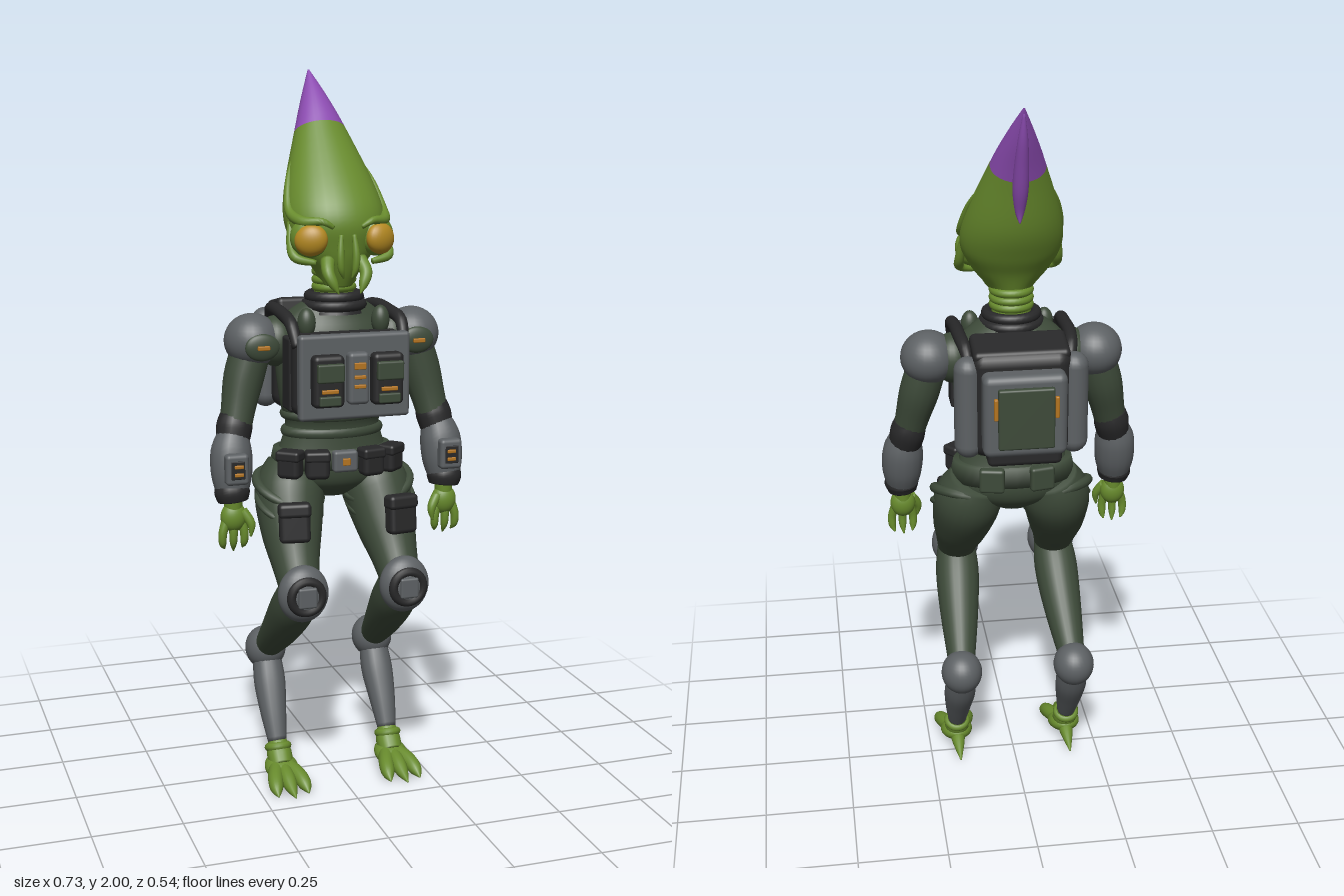
import * as THREE from 'three';
import { RoundedBoxGeometry } from 'three/addons/geometries/RoundedBoxGeometry.js';

const mat = (name, color) => Object.assign(new THREE.MeshStandardMaterial({ color }), { name });
const M = {
  skin: mat('skin green', 0x688b2d), purple: mat('crest purple', 0x8b4bb0), amber: mat('eye amber', 0xb58a22),
  suit: mat('suit dark green', 0x3d4a39), armour: mat('armour grey', 0x5d6164),
  black: mat('rubber black', 0x282829), orange: mat('marker orange', 0xb5751f),
};

// Catmull-Rom resampling of rows of numbers, k steps per span
function smooth(rows, k = 5) {
  const out = [], at = i => rows[Math.max(0, Math.min(rows.length - 1, i))];
  for (let i = 0; i < rows.length - 1; i++) for (let j = 0; j < k; j++) {
    const t = j / k, [a, b, c, d] = [at(i - 1), at(i), at(i + 1), at(i + 2)];
    out.push(b.map((_, m) => 0.5 * (2 * b[m] + (c[m] - a[m]) * t + (2 * a[m] - 5 * b[m] + 4 * c[m] - d[m]) * t * t
      + (3 * b[m] - a[m] - 3 * c[m] + d[m]) * t * t * t)));
  }
  out.push(rows[rows.length - 1]);
  return out;
}

// Skin over rings of points; caps lists the closed ends (0 start, 1 end)
function skinRings(rings, caps = [0, 1]) {
  const n = rings[0].length, pos = rings.flat().flatMap(p => [p.x, p.y, p.z]), idx = [];
  for (let r = 0; r < rings.length - 1; r++) for (let i = 0; i < n; i++) {
    const p = r * n + i, q = r * n + (i + 1) % n;
    idx.push(p, p + n, q, q, p + n, q + n);
  }
  caps.forEach(end => {
    const r = end * (rings.length - 1), c = new THREE.Vector3(), ci = pos.length / 3;
    rings[r].forEach(p => c.addScaledVector(p, 1 / n));
    pos.push(c.x, c.y, c.z);
    for (let i = 0; i < n; i++) {
      const p = r * n + i, q = r * n + (i + 1) % n;
      if (end) idx.push(p, ci, q); else idx.push(q, ci, p);
    }
  });
  const g = new THREE.BufferGeometry();
  g.setAttribute('position', new THREE.Float32BufferAttribute(pos, 3));
  g.setIndex(idx);
  g.computeVertexNormals();
  return g;
}

// Body sections: [front y, front z, back y, back z, half width], bottom to top
const loft = (rows, caps, n = 32) => skinRings(rows.map(([yf, zf, yb, zb, rx]) => Array.from({ length: n }, (_, i) => {
  const a = i / n * Math.PI * 2, t = (Math.sin(a) + 1) / 2;
  return new THREE.Vector3(rx * Math.cos(a), yb + (yf - yb) * t, zb + (zf - zb) * t);
})), caps);

// Tapered round sweep along [x, y, z, radius] points; s mirrors in x
function sweep(path, s = 1, n = 16) {
  const rows = smooth(path), P = rows.map(r => new THREE.Vector3(r[0] * s, r[1], r[2]));
  return skinRings(P.map((p, i) => {
    const T = P[Math.min(i + 1, P.length - 1)].clone().sub(P[Math.max(i - 1, 0)]).normalize();
    const N = new THREE.Vector3(1, 0, 0);
    N.addScaledVector(T, -T.x).normalize();
    const B = T.clone().cross(N), r = Math.max(rows[i][3], 0.0005);
    return Array.from({ length: n }, (_, j) => {
      const a = j / n * Math.PI * 2;
      return p.clone().addScaledVector(N, Math.cos(a) * r).addScaledVector(B, -Math.sin(a) * r);
    });
  }));
}

export function createModel() {
  const root = new THREE.Group();
  root.name = 'alienExplorer';
  let parent = root;
  const group = name => { parent = new THREE.Group(); parent.name = name; root.add(parent); };
  const add = (name, geo, m, p = [0, 0, 0], r = [0, 0, 0], sc = [1, 1, 1]) => {
    const mesh = new THREE.Mesh(geo, m);
    mesh.name = name;
    mesh.position.set(...p); mesh.rotation.set(...r); mesh.scale.set(...sc);
    parent.add(mesh);
  };
  const box = (name, m, size, p, r) => add(name, new RoundedBoxGeometry(...size, 3, Math.min(...size) * 0.3), m, p, r);
  const ball = (name, m, sc, p, r) => add(name, new THREE.SphereGeometry(1, 28, 20), m, p, r, sc);
  const ring = (name, m, R, t, p, r = [Math.PI / 2, 0, 0], sc) => add(name, new THREE.TorusGeometry(R, t, 10, 32), m, p, r, sc);
  const cyl = (name, m, r1, r2, h, p, r) => add(name, new THREE.CylinderGeometry(r1, r2, h, 28), m, p, r);

  // Head: tall leaning cone with a coloured tip
  group('head');
  const rows = smooth([
    [1.425, 0.105, 1.44, -0.01, 0.045], [1.47, 0.125, 1.475, -0.022, 0.066], [1.53, 0.142, 1.52, -0.042, 0.108],
    [1.61, 0.15, 1.575, -0.076, 0.138], [1.70, 0.1, 1.66, -0.116, 0.127], [1.865, -0.047, 1.80, -0.148, 0.073],
    [1.94, -0.122, 1.905, -0.18, 0.037], [2, -0.197, 2, -0.203, 0.002]], 6);
  add('skull', loft(rows.slice(0, 31), [0]), M.skin);
  add('purpleTip', loft(rows.slice(30), [1]), M.purple);
  add('backFin', sweep([[0, 1.985, -0.2, 0.003], [0, 1.92, -0.183, 0.013], [0, 1.85, -0.16, 0.019], [0, 1.78, -0.14, 0.021],
    [0, 1.725, -0.128, 0.014], [0, 1.69, -0.133, 0.002]]), M.purple);
  for (const s of [1, -1]) {
    ball('eye', M.amber, [0.045, 0.042, 0.027], [s * 0.097, 1.557, 0.133], [0, s * 0.4, s * -0.3]);
    ball('eyeSocket', M.skin, [0.052, 0.054, 0.035], [s * 0.095, 1.562, 0.11], [0, s * 0.4, 0]);
    add('browRidge', sweep([[0.04, 1.59, 0.148, 0.006], [0.07, 1.606, 0.147, 0.01], [0.115, 1.605, 0.112, 0.015],
      [0.132, 1.63, 0.05, 0.013], [0.118, 1.705, -0.005, 0.009], [0.093, 1.765, -0.05, 0.003]], s), M.skin);
    add('cheekFold', sweep([[0.13, 1.6, 0.05, 0.008], [0.135, 1.54, 0.075, 0.013], [0.13, 1.508, 0.105, 0.013], [0.08, 1.495, 0.12, 0.008]], s), M.skin);
    add('mandible', sweep([[0.045, 1.5, 0.115, 0.02], [0.053, 1.47, 0.145, 0.017], [0.042, 1.44, 0.158, 0.013], [0.03, 1.415, 0.167, 0.001]], s), M.skin);
    add('lipFeeler', sweep([[0.018, 1.57, 0.148, 0.006], [0.022, 1.52, 0.155, 0.01], [0.02, 1.48, 0.155, 0.009], [0.012, 1.455, 0.15, 0.002]], s), M.skin);
  }

  // Neck folds and collar
  group('neck');
  cyl('neckCore', M.skin, 0.052, 0.055, 0.1, [0, 1.43, 0.03]);
  [1.42, 1.44, 1.462].forEach(y => ring('neckFold', M.skin, 0.05, 0.012, [0, y, 0.03]));
  [[1.372, 0.076], [1.395, 0.068]].forEach(([y, r]) => ring('collarRing', M.black, r, 0.015, [0, y, 0.03]));
  cyl('collar', M.black, 0.066, 0.085, 0.05, [0, 1.375, 0.03]);

  // Torso
  group('torso');
  add('body', loft(smooth([
    [0.83, 0.04, 0.83, -0.04, 0.05], [0.87, 0.09, 0.87, -0.08, 0.15], [0.92, 0.105, 0.92, -0.092, 0.175],
    [0.98, 0.1, 0.98, -0.078, 0.15], [1.04, 0.1, 1.04, -0.07, 0.135], [1.1, 0.12, 1.1, -0.07, 0.152],
    [1.2, 0.13, 1.2, -0.08, 0.165], [1.29, 0.12, 1.29, -0.085, 0.168], [1.345, 0.1, 1.345, -0.07, 0.135], [1.385, 0.09, 1.385, -0.03, 0.08]])), M.suit);
  ring('waistFold', M.suit, 0.132, 0.016, [0, 1.02, 0.012], [Math.PI / 2, 0, 0], [1, 0.62, 1]);
  ring('waistFold', M.suit, 0.138, 0.014, [0, 1.07, 0.02], [Math.PI / 2, 0, 0], [1, 0.64, 1]);

  // Chest rig
  group('chestRig');
  box('chestBlock', M.black, [0.32, 0.22, 0.1], [0, 1.2, 0.14]);
  box('chestPlate', M.armour, [0.31, 0.23, 0.035], [0, 1.2, 0.2]);
  box('centreUnit', M.armour, [0.058, 0.14, 0.038], [0, 1.2, 0.233]);
  [1.235, 1.205, 1.18].forEach((y, i) => box('statusLight', M.orange, [0.032, i ? 0.01 : 0.018, 0.008], [0, y, 0.255]));
  for (const s of [1, -1]) {
    box('chestPouch', M.black, [0.086, 0.14, 0.045], [s * 0.083, 1.195, 0.23]);
    box('pouchFlap', M.suit, [0.074, 0.05, 0.018], [s * 0.083, 1.22, 0.259]);
    box('pouchPocket', M.suit, [0.06, 0.026, 0.014], [s * 0.083, 1.145, 0.255]);
    box('pouchTab', M.orange, [0.046, 0.011, 0.009], [s * 0.083, 1.17, 0.255]);
    box('sidePanel', M.black, [0.025, 0.2, 0.07], [s * 0.152, 1.2, 0.115]);
    add('shoulderStrap', sweep([[0.15, 1.28, 0.178, 0.014], [0.155, 1.335, 0.14, 0.017], [0.152, 1.35, 0.06, 0.018], [0.15, 1.355, -0.04, 0.018],
      [0.142, 1.34, -0.11, 0.017], [0.13, 1.28, -0.14, 0.014]], s), M.black);
    ball('strapKnob', M.suit, [0.025, 0.04, 0.025], [s * 0.105, 1.335, 0.115]);
  }

  // Backpack
  group('backpack');
  box('packCore', M.black, [0.27, 0.3, 0.13], [0, 1.21, -0.14]);
  box('packBase', M.black, [0.2, 0.05, 0.17], [0, 1.08, -0.16]);
  box('packLid', M.black, [0.26, 0.05, 0.12], [0, 1.345, -0.13], [-0.2, 0, 0]);
  box('packShell', M.armour, [0.225, 0.23, 0.07], [0, 1.2, -0.222]);
  box('packPanel', M.suit, [0.15, 0.17, 0.02], [0, 1.2, -0.263]);
  for (const s of [1, -1]) {
    box('packLight', M.orange, [0.011, 0.06, 0.013], [s * 0.081, 1.23, -0.265]);
    add('sideTank', new THREE.CapsuleGeometry(0.038, 0.21, 6, 20), M.armour, [s * 0.143, 1.2, -0.163]);
  }

  // Belt with buckle and pouches
  group('belt');
  add('beltBand', loft([[0.92, 0.115, 0.92, -0.098, 0.18], [0.975, 0.11, 0.975, -0.092, 0.168]]), M.suit);
  box('buckle', M.armour, [0.07, 0.06, 0.03], [0, 0.95, 0.128]);
  box('buckleLight', M.orange, [0.022, 0.02, 0.008], [0, 0.95, 0.144]);
  for (const s of [1, -1]) {
    [[0.078, 0.115, 0.2], [0.147, 0.085, 0.7]].forEach(([x, z, a]) => {
      box('beltPouch', M.black, [0.066, 0.075, 0.048], [s * x, 0.942, z + 0.01], [0, s * a, 0]);
      box('beltPouchFlap', M.black, [0.07, 0.03, 0.053], [s * x, 0.968, z + 0.01], [0, s * a, 0]);
    });
    box('hipPouch', M.suit, [0.07, 0.07, 0.03], [s * 0.07, 0.945, -0.088], [0, s * -0.2, 0]);
  }

  for (const s of [1, -1]) {
    // Arm
    group(s > 0 ? 'leftArm' : 'rightArm');
    ball('shoulderPad', M.armour, [0.077, 0.074, 0.08], [s * 0.231, 1.28, 0.02]);
    ball('armhole', M.suit, [0.055, 0.07, 0.065], [s * 0.165, 1.275, 0.02]);
    ball('shoulderPatch', M.suit, [0.048, 0.037, 0.014], [s * 0.222, 1.27, 0.093]);
    box('shoulderMark', M.orange, [0.034, 0.012, 0.009], [s * 0.222, 1.27, 0.109]);
    add('upperArm', sweep([[0.233, 1.26, 0.02, 0.055], [0.257, 1.18, 0.025, 0.056], [0.277, 1.1, 0.04, 0.048], [0.292, 1.03, 0.055, 0.043]], s), M.suit);
    add('elbowBand', sweep([[0.285, 1.08, 0.043, 0.044], [0.291, 1.05, 0.048, 0.05], [0.299, 1.01, 0.058, 0.046]], s), M.black);
    add('forearm', sweep([[0.296, 1.035, 0.055, 0.042], [0.305, 0.985, 0.066, 0.057], [0.308, 0.92, 0.078, 0.056], [0.31, 0.86, 0.09, 0.04]], s), M.armour);
    add('cuff', sweep([[0.31, 0.89, 0.084, 0.046], [0.31, 0.875, 0.088, 0.049], [0.308, 0.853, 0.09, 0.042]], s), M.black);
    box('wristUnit', M.armour, [0.064, 0.085, 0.036], [s * 0.308, 0.95, 0.132]);
    box('wristScreen', M.black, [0.038, 0.05, 0.008], [s * 0.308, 0.95, 0.149]);
    [0.938, 0.96].forEach(y => box('wristLight', M.orange, [0.025, 0.01, 0.008], [s * 0.306, y, 0.153]));
    cyl('wrist', M.skin, 0.026, 0.024, 0.05, [s * 0.308, 0.84, 0.09]);
    ball('palm', M.skin, [0.036, 0.042, 0.028], [s * 0.308, 0.808, 0.092]);
    [-1, 0, 1].forEach(i => add('finger', sweep([[0.308 + i * 0.021, 0.8, 0.094, 0.013], [0.31 + i * 0.03, 0.765, 0.098, 0.012],
      [0.31 + i * 0.03, 0.735, 0.095, 0.01], [0.308 + i * 0.025, 0.71 + Math.abs(i) * 0.008, 0.086, 0.002]], s), M.skin));
    add('thumb', sweep([[0.285, 0.825, 0.1, 0.014], [0.264, 0.79, 0.112, 0.012], [0.266, 0.755, 0.115, 0.003]], s), M.skin);

    // Leg
    group(s > 0 ? 'leftLeg' : 'rightLeg');
    add('thigh', sweep([[0.105, 0.92, -0.01, 0.075], [0.126, 0.85, 0.015, 0.097], [0.138, 0.75, 0.075, 0.085],
      [0.144, 0.67, 0.135, 0.066], [0.146, 0.6, 0.19, 0.053]], s, 24), M.suit);
    ring('thighStrap', M.suit, 0.094, 0.014, [s * 0.13, 0.858, 0.02], [Math.PI / 2 + 0.35, s * 0.25, 0]);
    ring('thighStrap', M.suit, 0.091, 0.01, [s * 0.134, 0.815, 0.04], [Math.PI / 2 + 0.4, s * 0.2, 0]);
    box('thighPouch', M.black, [0.085, 0.11, 0.045], [s * 0.154, 0.795, 0.158], [-0.1, s * 0.2, 0]);
    box('thighPouchFlap', M.black, [0.09, 0.04, 0.05], [s * 0.154, 0.83, 0.158], [-0.1, s * 0.2, 0]);
    ball('kneePad', M.armour, [0.071, 0.08, 0.046], [s * 0.146, 0.608, 0.21]);
    ring('kneeRing', M.black, 0.043, 0.013, [s * 0.146, 0.608, 0.243], [0, 0, 0]);
    box('kneePlate', M.armour, [0.052, 0.057, 0.02], [s * 0.146, 0.608, 0.25]);
    add('lowerLeg', sweep([[0.146, 0.615, 0.185, 0.055], [0.149, 0.55, 0.13, 0.064], [0.155, 0.46, 0.035, 0.056], [0.163, 0.36, -0.09, 0.038]], s, 24), M.suit);
    ball('hockJoint', M.armour, [0.059, 0.063, 0.063], [s * 0.165, 0.347, -0.11]);
    add('shank', sweep([[0.165, 0.33, -0.1, 0.04], [0.166, 0.26, -0.065, 0.046], [0.168, 0.18, -0.02, 0.038], [0.168, 0.105, 0.02, 0.027]], s), M.armour);
    ring('ankleFold', M.skin, 0.027, 0.012, [s * 0.168, 0.092, 0.027], [Math.PI / 2 - 0.4, 0, 0]);
    add('ankle', sweep([[0.168, 0.11, 0.018, 0.026], [0.167, 0.075, 0.035, 0.036], [0.167, 0.045, 0.06, 0.034]], s), M.skin);
    ball('instep', M.skin, [0.048, 0.03, 0.06], [s * 0.167, 0.042, 0.06], [0.2, 0, 0]);
    [-1, 0, 1].forEach(i => add('toe', sweep([[0.167 + i * 0.015, 0.046, 0.06, 0.022], [0.167 + i * 0.034, 0.036, 0.115, 0.022],
      [0.167 + i * 0.042, 0.022, 0.155, 0.018], [0.167 + i * 0.044, 0.01, 0.205 - Math.abs(i) * 0.02, 0.002]], s), M.skin));
    add('heelSpur', sweep([[0.167, 0.045, 0.045, 0.024], [0.167, 0.032, -0.005, 0.018], [0.167, 0.012, -0.07, 0.002]], s), M.skin);
  }
  return root;
}
